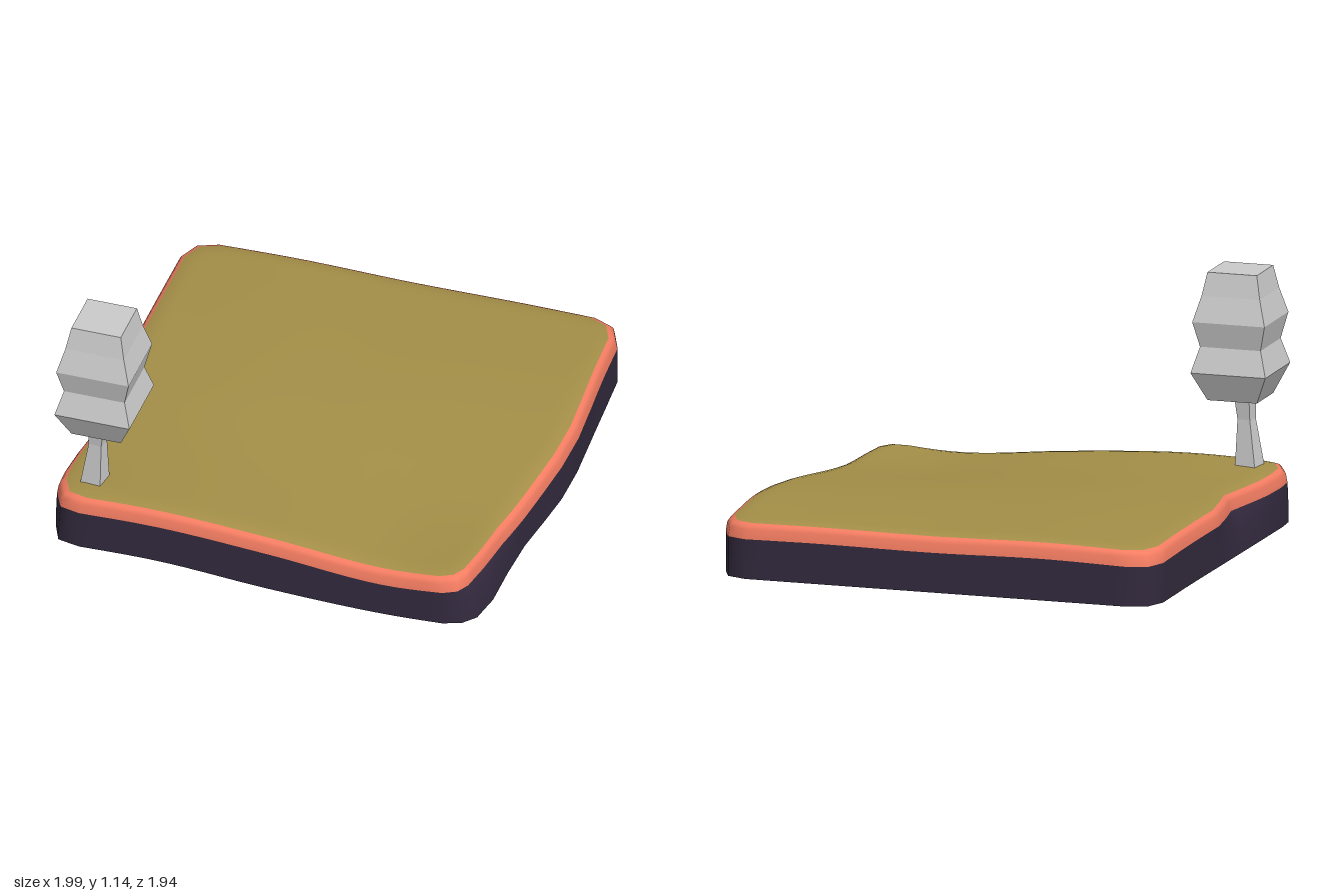
import * as THREE from 'three';

// Outline, counter-clockwise from above: [upper x, z, lower x]
const OUTLINE = [
  [0.86, 0.89, 0.9], [0.88, 0.75, 0.925], [0.9, 0.55, 0.925], [0.935, 0.35, 0.935],
  [0.965, 0.15, 0.965], [0.985, 0, 0.985], [0.995, -0.2, 0.99], [0.985, -0.4, 0.98],
  [0.967, -0.65, 0.967], [0.955, -0.85, 0.955], [0.915, -0.94, 0.915], [0.83, -0.975, 0.83],
  [-0.87, -0.975, -0.87], [-0.96, -0.94, -0.96], [-0.997, -0.85, -0.997], [-0.997, -0.1, -0.997],
  [-0.97, 0.08, -0.997], [-0.94, 0.23, -0.997], [-0.955, 0.4, -0.997], [-0.98, 0.6, -0.997],
  [-0.99, 0.75, -0.997], [-0.985, 0.85, -0.99], [-0.94, 0.94, -0.95], [-0.85, 0.965, -0.85],
  [0.77, 0.968, 0.77], [0.83, 0.945, 0.85],
];

// Heights on a 5 x 5 grid, rows from back to front, columns along x
const TOP = [
  [0.3, 0.31, 0.302, 0.305, 0.3],
  [0.305, 0.322, 0.312, 0.312, 0.315],
  [0.3, 0.317, 0.3, 0.285, 0.282],
  [0.285, 0.297, 0.275, 0.243, 0.243],
  [0.292, 0.302, 0.272, 0.23, 0.27],
];
const BOTTOM = [
  [0.055, 0.055, 0.055, 0.055, 0.055],
  [0.055, 0.055, 0.05, 0.05, 0.055],
  [0.05, 0.052, 0.04, 0.035, 0.04],
  [0.045, 0.048, 0.025, 0.015, 0.025],
  [0.042, 0.05, 0.017, 0.004, 0.025],
];

// Smooth interpolation through five evenly spaced values, t from -1 to 1
function smooth(values, t) {
  const u = THREE.MathUtils.clamp((t + 1) * 2, 0, 3.9999);
  const i = Math.floor(u), f = u - i;
  const v = (k) => values[THREE.MathUtils.clamp(k, 0, 4)];
  const [a, b, c, d] = [v(i - 1), v(i), v(i + 1), v(i + 2)];
  return b + 0.5 * f * (c - a + f * (2 * a - 5 * b + 4 * c - d + f * (3 * (b - c) + d - a)));
}
const height = (grid, x, z) => smooth(grid.map((row) => smooth(row, x)), z);

// Long edges of the outline are split so they can follow the ground
function perimeter() {
  const pts = [];
  OUTLINE.forEach((a, i) => {
    const b = OUTLINE[(i + 1) % OUTLINE.length];
    const n = Math.ceil(Math.hypot(b[0] - a[0], b[1] - a[1]) / 0.07);
    for (let k = 0; k < n; k++) pts.push(a.map((v, j) => v + (b[j] - v) * k / n));
  });
  return pts;
}

// Skin over rings: [scale, blend lower to upper outline, blend bottom to top, y offset]
function skin(name, color, rings) {
  const pts = perimeter(), n = pts.length, pos = [], index = [];
  rings.forEach(([s, outline, level, dy], r) => pts.forEach(([xu, z0, xl], i) => {
    const x = s * (xl + (xu - xl) * outline), z = s * z0;
    const y = THREE.MathUtils.lerp(height(BOTTOM, x, z), height(TOP, x, z), level) + dy;
    pos.push(x, y, z);
    if (r === rings.length - 1) return;
    const a = r * n + i, b = r * n + (i + 1) % n;
    index.push(a, b, b + n, a, b + n, a + n);
  }));
  const geo = new THREE.BufferGeometry();
  geo.setAttribute('position', new THREE.Float32BufferAttribute(pos, 3));
  geo.setIndex(index);
  geo.computeVertexNormals();
  const mesh = new THREE.Mesh(geo, new THREE.MeshStandardMaterial({ color }));
  mesh.name = name;
  return mesh;
}

// Square loft from [half width, y] levels, closed at both ends
function squareLoft(name, levels) {
  const pts = levels.map(([h, y]) => new THREE.Vector2(h * Math.SQRT2, y));
  pts.unshift(new THREE.Vector2(0, pts[0].y));
  pts.push(new THREE.Vector2(0, pts[pts.length - 1].y));
  const geo = new THREE.LatheGeometry(pts, 4, Math.PI / 4);
  const mesh = new THREE.Mesh(geo, new THREE.MeshStandardMaterial({ color: 0xcccccc, flatShading: true }));
  mesh.name = name;
  return mesh;
}

export function createModel() {
  const model = new THREE.Group();
  model.name = 'groundTileWithTree';

  // Ground slab: underside, rock sides, soil band and grass
  const inner = [0, 0.15, 0.3, 0.45, 0.6, 0.75, 0.87];
  model.add(
    skin('underside', 0x332a3e, [...inner, 1].map((s) => [s, 0, 0, 0])),
    skin('rockSides', 0x332a3e, [[1, 0, 0, 0], [1, 0.35, 0.45, 0], [1, 1, 1, -0.075]]),
    skin('soilBand', 0xf47d62, [[1, 1, 1, -0.075], [0.994, 1, 1, -0.035], [0.983, 1, 1, -0.019], [0.967, 1, 1, -0.011]]),
    skin('grass', 0xa48f48, [[0.967, 1, 1, -0.011], [0.945, 1, 1, -0.004], [0.91, 1, 1, 0],
      ...inner.slice().reverse().map((s) => [s, 1, 1, 0])]),
  );

  // Tree with a waisted, leaning trunk and a stacked square crown
  const tree = new THREE.Group();
  tree.name = 'tree';
  const trunk = squareLoft('trunk', [[0.048, 0.27], [0.029, 0.49], [0.035, 0.59]]);
  const p = trunk.geometry.attributes.position;
  for (let i = 0; i < p.count; i++) p.setX(i, p.getX(i) + (p.getY(i) - 0.27) * 0.07);
  trunk.position.set(-0.834, 0, 0.8);
  trunk.rotation.y = -0.13;
  const crown = squareLoft('crown', [[0.11, 0.585], [0.167, 0.71], [0.135, 0.82],
    [0.161, 0.93], [0.13, 1.04], [0.11, 1.14]]);
  crown.position.set(-0.793, 0, 0.795);
  tree.add(trunk, crown);
  model.add(tree);
  return model;
}
